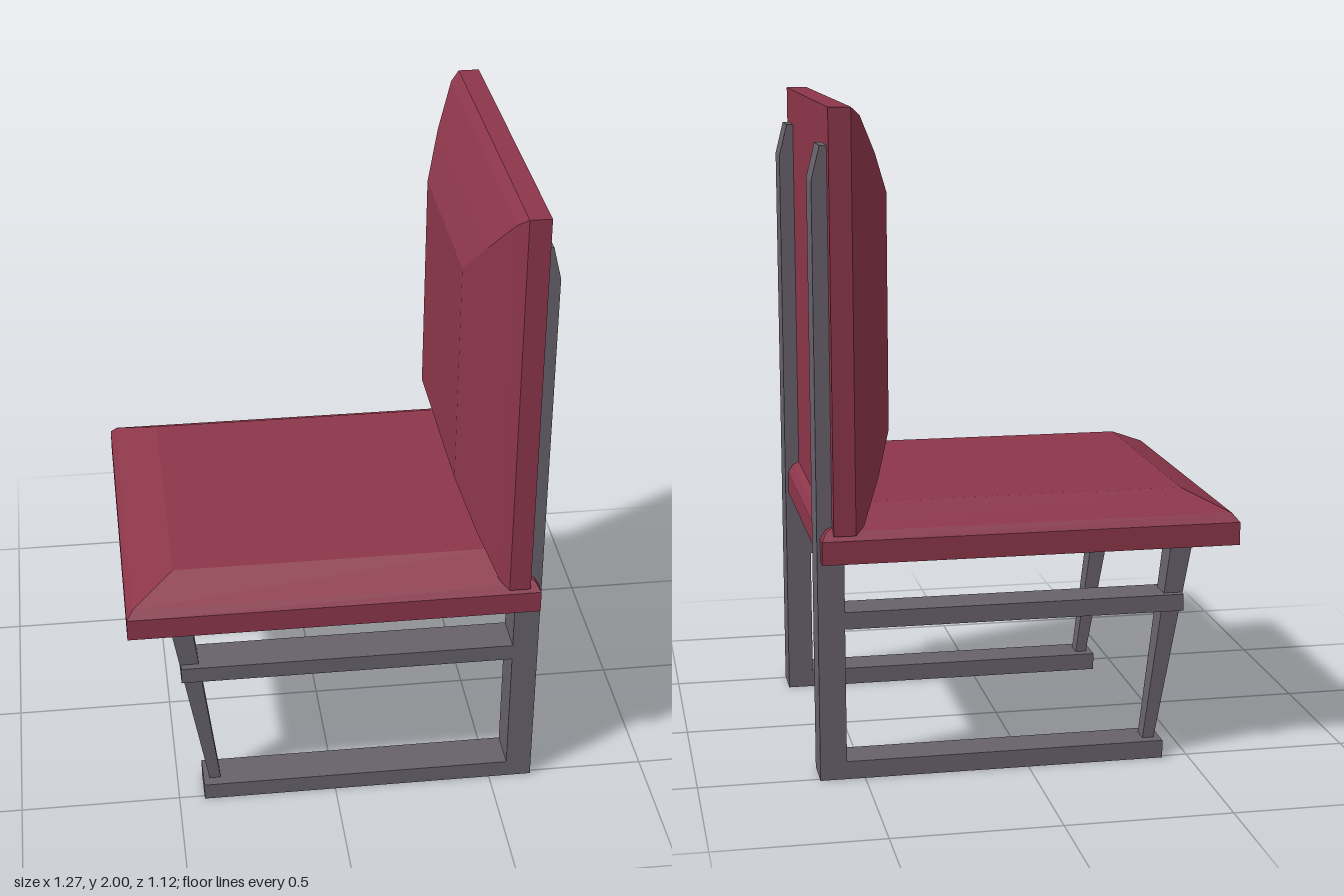
import * as THREE from 'three';

// Stacks rectangular sections [y, x0, x1, z0, z1] from bottom to top into a closed faceted solid.
function loft(sections) {
  const rings = sections.map(([y, x0, x1, z0, z1]) => [
    [x0, y, z1], [x1, y, z1], [x1, y, z0], [x0, y, z0],
  ]);
  const pos = [];
  const quad = (a, b, c, d) => pos.push(...a, ...b, ...c, ...a, ...c, ...d);
  for (let r = 0; r < rings.length - 1; r++) {
    for (let i = 0; i < 4; i++) {
      const j = (i + 1) % 4;
      quad(rings[r][i], rings[r][j], rings[r + 1][j], rings[r + 1][i]);
    }
  }
  const first = rings[0], last = rings[rings.length - 1];
  quad(last[0], last[1], last[2], last[3]);
  quad(first[3], first[2], first[1], first[0]);
  const geo = new THREE.BufferGeometry();
  geo.setAttribute('position', new THREE.Float32BufferAttribute(pos, 3));
  geo.computeVertexNormals();
  return geo;
}

export function createModel() {
  const upholstery = new THREE.MeshStandardMaterial({ color: 0x8c364a });
  upholstery.name = 'wine red upholstery';
  const metal = new THREE.MeshStandardMaterial({ color: 0x67616a });
  metal.name = 'grey frame';

  const chair = new THREE.Group();
  chair.name = 'chair';
  const add = (parent, name, geo, mat) => {
    const mesh = new THREE.Mesh(geo, mat);
    mesh.name = name;
    parent.add(mesh);
    return mesh;
  };

  // Seat: flat slab with a bevelled cushion top
  add(chair, 'seat', loft([
    [0.675, -0.64, 0.625, -0.56, 0.56],
    [0.745, -0.64, 0.625, -0.56, 0.56],
    [0.77, -0.62, 0.61, -0.54, 0.54],
    [0.83, -0.49, 0.48, -0.43, 0.43],
  ]), upholstery);

  // Backrest: lofted upward from its rear face, then turned to face -x
  const back = loft([
    [-0.59, 0.76, 2.0, -0.56, 0.56],
    [-0.525, 0.76, 2.0, -0.56, 0.56],
    [-0.497, 0.785, 1.975, -0.535, 0.535],
    [-0.44, 0.90, 1.86, -0.43, 0.43],
    [-0.39, 1.02, 1.735, -0.31, 0.31],
  ]);
  back.rotateZ(Math.PI / 2);
  add(chair, 'backrest', back, upholstery);

  // Side frames: tall rear post, slanted front leg and three rails
  const w = 0.0625;
  for (const side of [-1, 1]) {
    const frame = new THREE.Group();
    frame.name = side > 0 ? 'frontSideFrame' : 'rearSideFrame';
    frame.position.z = side * 0.4515;
    chair.add(frame);

    add(frame, 'tallPost', loft([
      [0, 0.555, 0.635, -w, w],
      [1.79, 0.555, 0.635, -w, w],
      [1.89, 0.555, 0.61, -w, w],
    ]), metal);
    add(frame, 'slantedLeg', loft([
      [0.05, -0.40, -0.365, -0.028, 0.028],
      [0.68, -0.512, -0.445, -0.043, 0.043],
    ]), metal);

    const rails = [
      ['floorRail', -0.42, 0, 0.055],
      ['middleRail', -0.48, 0.465, 0.517],
      ['seatRail', -0.48, 0.667, 0.68],
    ];
    for (const [name, x0, y0, y1] of rails) {
      add(frame, name, loft([[y0, x0, 0.556, -w, w], [y1, x0, 0.556, -w, w]]), metal);
    }
  }
  return chair;
}
